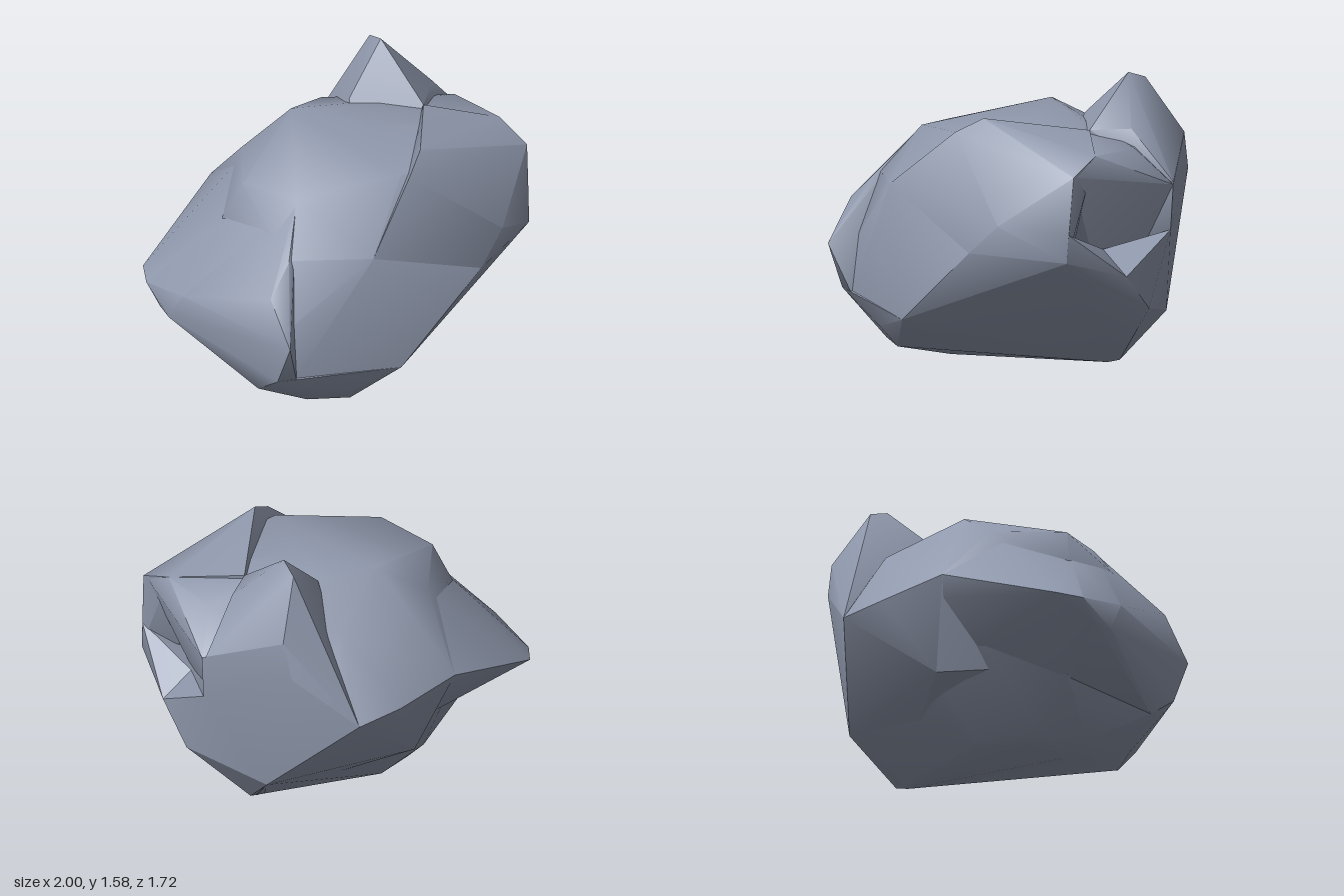
import * as THREE from 'three';
import { ConvexGeometry } from 'three/addons/geometries/ConvexGeometry.js';
import { toCreasedNormals } from 'three/addons/utils/BufferGeometryUtils.js';

const stone = new THREE.MeshStandardMaterial({ color: 0x9099ad });
stone.name = 'blue grey stone';

// One worn, convex chunk of stone; neighbouring chunks overlap to leave dents
function chunk(name, points, crease = 0.8) {
  const hull = new ConvexGeometry(points.map((p) => new THREE.Vector3(...p)));
  const mesh = new THREE.Mesh(toCreasedNormals(hull, crease), stone);
  mesh.name = name;
  return mesh;
}

export function createModel() {
  const rock = new THREE.Group();
  rock.name = 'boulder';

  // Main mass: front face, top and back
  rock.add(chunk('mainBody', [
    [-0.52, 1.21, 0.14], [-0.62, 1.0, 0.11], [-0.42, 1.18, -0.25], [-0.15, 1.36, -0.27],
    [0.17, 1.35, -0.22], [0.22, 1.35, 0], [0.25, 1.31, 0.42], [-0.3, 1.245, 0.4],
    [-0.4, 1.0, 0.59], [0.02, 1.03, 0.73], [-0.44, 0.65, 0.71],
    [0.9, 1.28, -0.03], [0.99, 1.2, 0.14], [0.82, 1.07, -0.51], [0.74, 1.26, -0.33],
    [-0.4, 0.38, 0.75], [-0.1, 0.25, 0.73], [0.17, 0.34, 0.73], [0.64, 0.77, 0.57],
    [0.06, 0.77, -0.86], [-0.18, 0.79, -0.75], [-0.5, 0.84, -0.56], [0.1, 1.18, -0.6],
    [0.2, 1.0, -0.7], [0.5, 0.33, -0.62], [0.5, 0.1, -0.34], [-0.3, 0.38, -0.5],
    [-0.56, 0.4, 0],
  ]));

  // Blunt nose on the -x side, running up to the top and out to a front spur
  rock.add(chunk('nose', [
    [-1, 0.61, 0.01], [-0.98, 0.62, -0.13], [-0.95, 0.51, 0.1], [-0.88, 0.67, 0.28],
    [-0.93, 0.5, 0.2], [-0.46, 0.63, 0.86], [-0.52, 0.85, 0.7], [-0.4, 0.38, 0.76],
    [-0.5, 0.38, 0.76], [-0.56, 0.25, 0.6], [-0.56, 0.26, 0.1], [-0.62, 1.0, 0.12],
    [-0.4, 1.0, 0.61], [-0.3, 1.24, 0.4], [-0.5, 1.08, -0.2], [-0.15, 1.36, -0.27],
    [-0.5, 0.84, -0.56], [-0.18, 0.79, -0.75], [0, 0.4, -0.5],
  ]));

  // Underside the rock rests on
  rock.add(chunk('foot', [
    [-0.37, 0, 0.2], [-0.48, 0.07, 0.27], [-0.45, 0.08, 0.02], [-0.36, 0.03, 0],
    [-0.18, 0.08, -0.22], [0.47, 0.08, -0.3], [0.53, 0.1, -0.34],
    [-0.08, 0.14, 0.64], [-0.3, 0.14, 0.6], [-0.1, 0.25, 0.73], [0.17, 0.34, 0.73],
    [-0.4, 0.38, 0.75], [-0.5, 0.38, 0.76], [-0.56, 0.25, 0.6], [-0.66, 0.33, 0.08],
    [0.5, 0.33, -0.62], [-0.5, 0.82, -0.55], [-0.18, 0.78, -0.74], [0.06, 0.77, -0.86],
    [0, 0.8, 0],
  ]));

  // Leaning peak at the back
  rock.add(chunk('peak', [
    [0.38, 1.58, -0.46], [0.35, 1.54, -0.57], [0.44, 1.25, -0.75], [0.4, 1.05, -0.79],
    [0.17, 1.34, -0.31], [0.2, 0.95, -0.7], [0.53, 1.33, -0.17], [0.63, 1.34, -0.36],
    [0.8, 1.08, -0.52], [0.06, 0.77, -0.86], [0.2, 0.8, 0],
  ]));

  // Cheek behind the side dent
  rock.add(chunk('backCheek', [
    [0.82, 1.07, -0.51], [0.81, 0.83, -0.5], [0.5, 0.33, -0.62], [0.06, 0.77, -0.86],
    [0.44, 1.25, -0.75], [0.4, 1.05, -0.79], [0.5, 0.6, -0.1], [0.4, 0.9, -0.4],
  ]));

  // Sloping floor of the side dent
  rock.add(chunk('dentFloor', [
    [0.96, 0.64, -0.18], [0.81, 0.83, -0.5], [0.8, 0.76, -0.12], [0.87, 0.44, -0.35],
    [0.5, 0.33, -0.62], [0.4, 0.6, 0],
  ]));

  // Shoulder in front of the side dent
  rock.add(chunk('shoulder', [
    [1, 1.2, 0.14], [1, 0.9, 0.17], [1, 0.75, 0.18], [0.9, 1.28, -0.03],
    [0.53, 1.33, -0.17], [0.37, 1.41, 0.36], [0.28, 1.33, 0.48], [0.02, 1.03, 0.73],
    [0.17, 0.34, 0.73], [0.64, 0.77, 0.57], [0.78, 0.93, 0.47], [0.5, 0.5, 0.3],
    [0.6, 0.9, -0.1],
  ]));

  // Ledge below the side dent, running down to the underside
  rock.add(chunk('sideLedge', [
    [1, 0.9, 0.17], [1, 0.75, 0.18], [0.96, 0.64, -0.18], [0.8, 0.76, -0.12],
    [0.87, 0.44, -0.35], [0.53, 0.1, -0.34], [0.5, 0.33, -0.62], [0.64, 0.77, 0.57],
    [0.17, 0.34, 0.73], [-0.1, 0.25, 0.73], [-0.08, 0.14, 0.64], [-0.37, 0, 0.2],
    [0.4, 0.6, 0],
  ]));

  return rock;
}
